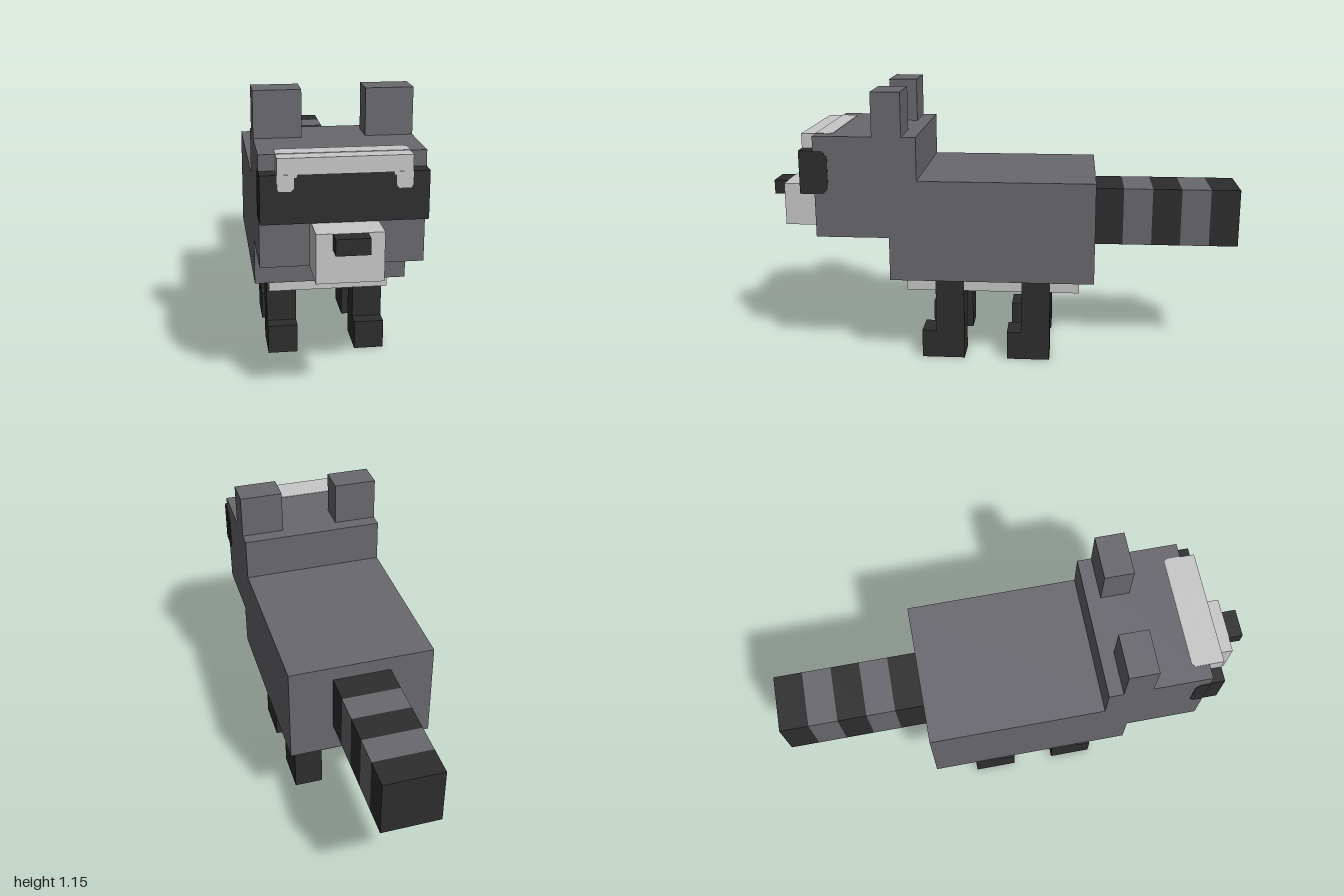
import * as THREE from 'three';

export function createModel() {
  const model = new THREE.Group();
  const material = (name, color) => {
    const m = new THREE.MeshStandardMaterial({ color });
    m.name = name;
    return m;
  };
  const grey = material('grey fur', 0x68686e);
  const light = material('pale fur', 0xc8c8c8);
  const dark = material('dark fur', 0x2d2d2d);

  const add = (name, geometry, mat) => {
    const mesh = new THREE.Mesh(geometry, mat);
    mesh.name = name;
    model.add(mesh);
    return mesh;
  };
  // Box given by its extents on each axis
  const box = (name, mat, [x0, x1], [y0, y1], [z0, z1]) =>
    add(name, new THREE.BoxGeometry(x1 - x0, y1 - y0, z1 - z0), mat)
      .position.set((x0 + x1) / 2, (y0 + y1) / 2, (z0 + z1) / 2);
  // Thin painted plate from a 2D outline, centred on its own plane
  const plate = (points) => {
    const shape = new THREE.Shape(points.map(([x, y]) => new THREE.Vector2(x, y)));
    return new THREE.ExtrudeGeometry(shape, { depth: 0.004, bevelEnabled: false }).translate(0, 0, -0.002);
  };

  // Body and head
  box('body', grey, [-0.303, 0.303], [0.365, 0.79], [-0.394, 0.455]);
  box('belly', light, [-0.242, 0.242], [0.304, 0.366], [-0.333, 0.394]);
  box('head', grey, [-0.303, 0.303], [0.548, 0.97], [0.335, 0.758]);

  // Face
  box('mask', dark, [-0.303, 0.303], [0.73, 0.91], [0.758, 0.818]);
  box('brow', light, [-0.242, 0.242], [0.91, 0.97], [0.758, 0.818]);
  box('snout', light, [-0.121, 0.121], [0.548, 0.73], [0.758, 0.939]);
  box('nose', dark, [-0.061, 0.061], [0.67, 0.73], [0.939, 1]);

  // Pale patch running from the brow onto the top of the head
  add('browTop', plate([
    [-0.242, -0.758], [0.242, -0.758], [0.242, -0.70], [0.23, -0.688], [-0.23, -0.688], [-0.242, -0.70],
  ]).rotateX(-Math.PI / 2), light).position.y = 0.97;

  for (const [side, s] of [['left', 1], ['right', -1]]) {
    const span = (a, b) => (s > 0 ? [a, b] : [-b, -a]);

    box(side + 'Ear', grey, span(0.121, 0.303), [0.97, 1.152], [0.394, 0.515]);

    // Brow tips hanging over the mask
    const tip = [[0.172, 0.91], [0.172, 0.9], [0.182, 0.9], [0.182, 0.86], [0.192, 0.85],
      [0.235, 0.85], [0.242, 0.862], [0.242, 0.91]].map(([x, y]) => [x * s, y]);
    add(side + 'BrowTip', plate(tip), light).position.z = 0.818;

    // Mask wrapped onto the cheek, with clipped rear corners
    const cheek = [[-0.758, 0.73], [-0.72, 0.73], [-0.70, 0.755], [-0.70, 0.885], [-0.72, 0.91], [-0.758, 0.91]];
    add(side + 'MaskSide', plate(cheek).rotateY(Math.PI / 2), dark).position.x = s * 0.303;

    // Legs with forward-pointing feet
    for (const [end, z] of [['Front', 0.152], ['Back', -0.212]]) {
      box(side + end + 'Leg', dark, span(0.121, 0.244), [0, 0.365], [z, z + 0.121]);
      box(side + end + 'Foot', dark, span(0.121, 0.244), [0, 0.121], [z + 0.121, z + 0.182]);
    }
  }

  // Ringed tail
  const ring = (1 - 0.394) / 5;
  for (let i = 0; i < 5; i++) {
    const z = -0.394 - i * ring;
    box('tailRing' + (i + 1), i % 2 ? grey : dark, [-0.121, 0.121], [0.487, 0.73], [z - ring, z]);
  }
  return model;
}
